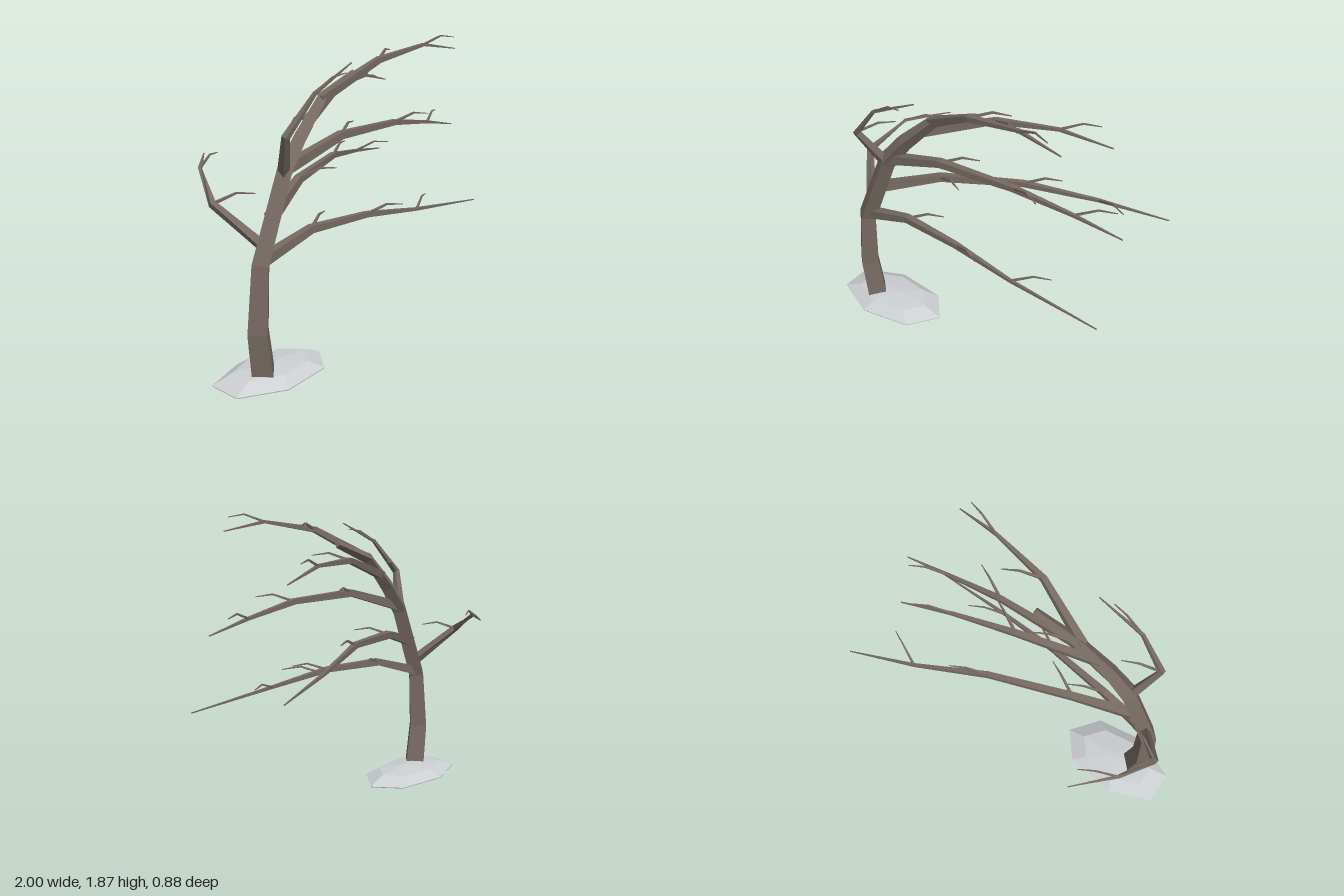
import * as THREE from 'three';

const bark = new THREE.MeshStandardMaterial({ color: 0x766a62 });
bark.name = 'bark';
const stone = new THREE.MeshStandardMaterial({ color: 0xcccfd2 });
stone.name = 'pale ground';

// Closed skin over rings of equal length, capped at both ends, with flat facets
function skin(rings) {
  const pos = [];
  const tri = (a, b, c) => pos.push(...a.toArray(), ...b.toArray(), ...c.toArray());
  const n = rings[0].length;
  for (let i = 0; i < rings.length - 1; i++) {
    for (let j = 0; j < n; j++) {
      const k = (j + 1) % n, a = rings[i], b = rings[i + 1];
      tri(a[j], a[k], b[k]);
      tri(a[j], b[k], b[j]);
    }
  }
  const first = rings[0], last = rings[rings.length - 1];
  for (let j = 1; j < n - 1; j++) {
    tri(first[0], first[j + 1], first[j]);
    tri(last[0], last[j], last[j + 1]);
  }
  const geo = new THREE.BufferGeometry();
  geo.setAttribute('position', new THREE.Float32BufferAttribute(pos, 3));
  geo.computeVertexNormals();
  return geo;
}

// Four-sided tapering limb along a bent path; turn rotates its cross-section
function limb(name, path, radii, turn) {
  const zAxis = new THREE.Vector3(0, 0, 1);
  const rings = path.map((p, i) => {
    const before = path[Math.max(i - 1, 0)], after = path[Math.min(i + 1, path.length - 1)];
    const t = after.clone().sub(before).normalize();
    const u = new THREE.Vector3().crossVectors(t, zAxis).normalize();
    const v = new THREE.Vector3().crossVectors(t, u);
    return [0, 1, 2, 3].map((k) => {
      const a = turn + k * Math.PI / 2;
      return p.clone().addScaledVector(u, radii[i] * Math.cos(a)).addScaledVector(v, radii[i] * Math.sin(a));
    });
  });
  const mesh = new THREE.Mesh(skin(rings), bark);
  mesh.name = name;
  return mesh;
}

const toPath = (points) => points.map((p) => new THREE.Vector3(...p));

// Branch with a bent twig at every inner joint, each spreading sideways in z
function branch(name, spreads, twigRise, points) {
  const group = new THREE.Group();
  group.name = name;
  const path = toPath(points);
  const radii = path.length === 5 ? [0.043, 0.031, 0.023, 0.013, 0.004] : [0.035, 0.024, 0.013, 0.004];
  group.add(limb(name + 'Limb', path, radii, Math.PI / 4));
  spreads.forEach((spread, s) => {
    const joint = path[s + 1];
    const elbow = joint.clone().add(new THREE.Vector3(0.12, 0.03 + twigRise / 2, 0.55 * spread));
    const tip = joint.clone().add(new THREE.Vector3(0.212, twigRise, spread));
    const r = Math.min(0.011, radii[s + 1] * 0.7);
    group.add(limb('twig', [joint, elbow, tip], [r, r * 0.7, 0.003], Math.PI / 4));
  });
  return group;
}

// Low mound of faceted ground around the foot of the trunk, hollowed underneath
function mound() {
  const rim = [[-1, 0.31], [-0.73, 0.435], [-0.4, 0.385], [-0.26, 0.2], [-0.4, 0.03], [-0.73, -0.01], [-1, 0.1]];
  const ring = (scale, y) => rim.map(([x, z]) => new THREE.Vector3(
    -0.63 + (x + 0.63) * scale, y, 0.21 + (z - 0.21) * scale));
  const mesh = new THREE.Mesh(
    skin([ring(0.7, 0.04), ring(0.99, 0.014), ring(1, 0.02), ring(0.68, 0.07), ring(0.1, 0.088)]), stone);
  mesh.name = 'groundMound';
  return mesh;
}

export function createModel() {
  const tree = new THREE.Group();
  tree.name = 'windsweptTree';
  tree.add(mound());

  // Leaning trunk
  tree.add(limb('trunk', toPath([[-0.75, 0.012, 0.255], [-0.793, 0.33, 0.26], [-0.768, 0.71, 0.262],
    [-0.575, 1.19, 0.25], [-0.44, 1.36, 0.235], [-0.235, 1.56, 0.205], [0.05, 1.672, 0.18]]),
  [0.086, 0.078, 0.066, 0.06, 0.05, 0.036, 0.022], 0));

  // Long branches swept to one side, from the lowest to the crown
  tree.add(branch('lowestBranch', [-0.1, 0.1, -0.1], 0.04,
    [[-0.76, 0.73, 0.26], [-0.41, 0.845, 0.29], [0, 0.855, 0.34], [0.42, 0.81, 0.38], [1, 0.762, 0.4]]));
  tree.add(branch('secondBranch', [0.1, -0.1, 0.1], 0.045,
    [[-0.68, 0.955, 0.25], [-0.3, 1.08, 0.08], [0.18, 1.115, -0.11], [0.6, 1.05, -0.3], [1, 0.985, -0.44]]));
  tree.add(branch('thirdBranch', [-0.1, 0.1, -0.1], 0.04,
    [[-0.57, 1.21, 0.25], [-0.15, 1.343, 0.27], [0.34, 1.35, 0.25], [0.71, 1.3, 0.215], [1, 1.245, 0.19]]));
  tree.add(branch('fourthBranch', [0.1, -0.1], 0.04,
    [[-0.37, 1.44, 0.22], [0.08, 1.59, 0.04], [0.43, 1.6, -0.07], [0.73, 1.535, -0.16]]));
  tree.add(branch('crownBranch', [-0.1, 0.065], 0.035,
    [[-0.25, 1.555, 0.21], [0.1, 1.755, 0.33], [0.45, 1.82, 0.375], [0.72, 1.78, 0.405]]));

  // Short branches bent back by the wind
  tree.add(branch('rearBranch', [0.11, -0.11], 0.04,
    [[-0.73, 0.8, 0.26], [-0.91, 1.04, 0.04], [-0.8, 1.18, -0.2], [-0.6, 1.2, -0.42]]));
  tree.add(branch('upperFrontBranch', [-0.11, 0.025], 0.09,
    [[-0.59, 1.19, 0.26], [-0.68, 1.42, 0.38], [-0.5, 1.635, 0.415], [-0.21, 1.77, 0.405]]));
  return tree;
}
